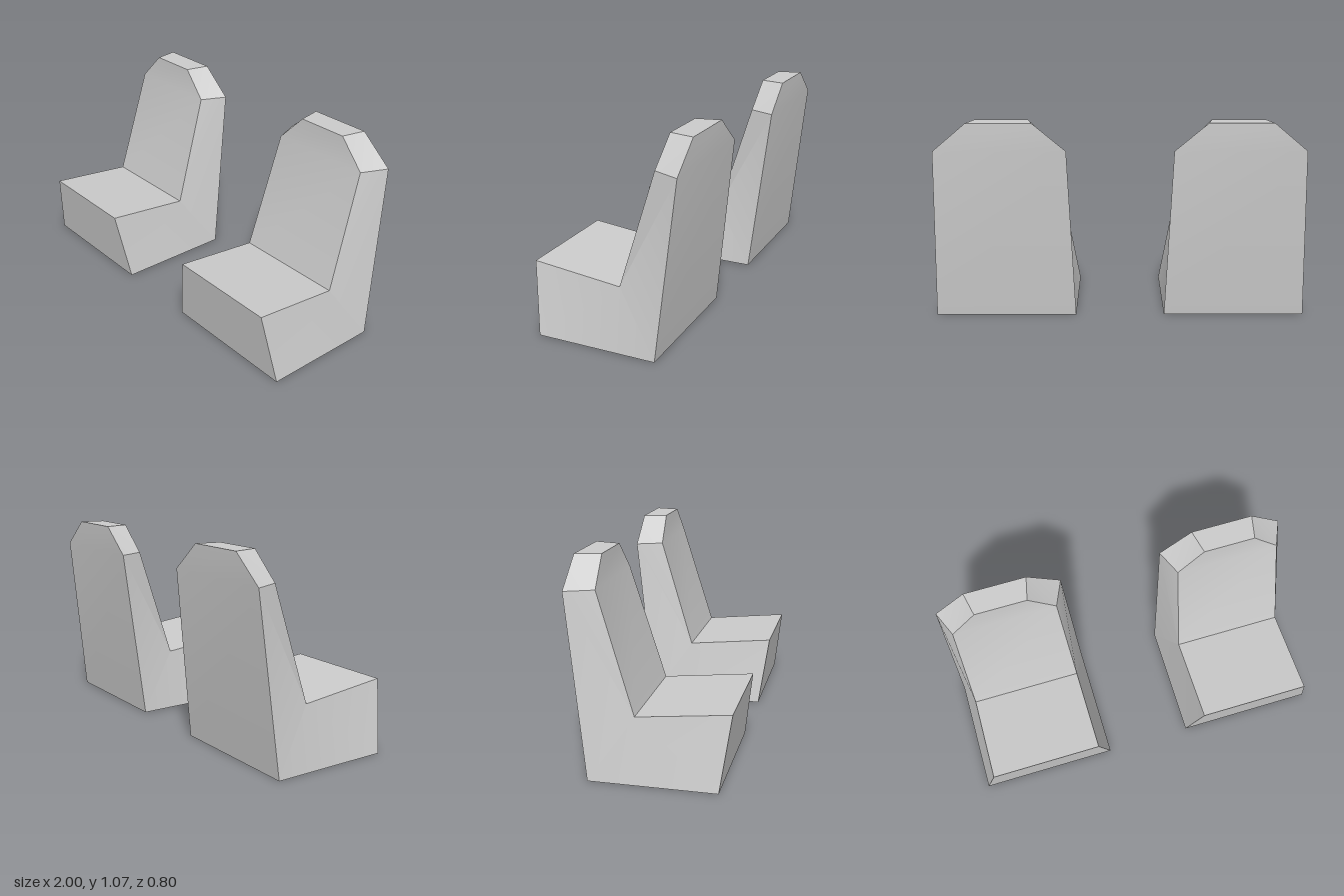
import * as THREE from 'three';
import { toCreasedNormals } from 'three/addons/utils/BufferGeometryUtils.js';

// Outline of the seat from the front base round to the back base: [y, z, half width]
const outline = [
  [0, 0.35, 0.38],        // 0 front base
  [0.37, 0.40, 0.305],    // 1 cushion front edge
  [0.32, -0.075, 0.305],  // 2 crease between cushion and backrest
  [0.925, -0.26, 0.282],  // 3 front shoulder
  [1.07, -0.27, 0.14],    // 4 top front edge
  [1.07, -0.40, 0.168],   // 5 top back edge
  [0.925, -0.40, 0.342],  // 6 back shoulder
  [0, -0.295, 0.38],      // 7 back base
];

// Triangles of one side panel, as outline indices
const sidePanel = [
  [0, 2, 1], [0, 7, 2], [2, 7, 6], [2, 6, 3], // flank
  [3, 6, 5], [3, 5, 4],                       // sloped shoulder
];

function seatGeometry() {
  const positions = [];
  const corner = (i, side) => {
    const [y, z, w] = outline[i];
    positions.push(side * w, y, z);
  };
  // Centre band running over the cushion, backrest and rear; the underside is open
  for (let i = 0; i < outline.length - 1; i++) {
    corner(i, -1); corner(i, 1); corner(i + 1, 1);
    corner(i, -1); corner(i + 1, 1); corner(i + 1, -1);
  }
  // Mirrored side panels
  for (const [a, b, c] of sidePanel) {
    corner(a, 1); corner(b, 1); corner(c, 1);
    corner(a, -1); corner(c, -1); corner(b, -1);
  }
  const geometry = new THREE.BufferGeometry();
  geometry.setAttribute('position', new THREE.Float32BufferAttribute(positions, 3));
  return toCreasedNormals(geometry, 0.35);
}

export function createModel() {
  const group = new THREE.Group();
  group.name = 'seatPair';
  const material = new THREE.MeshStandardMaterial({ color: 0xcccccc, side: THREE.DoubleSide });
  const geometry = seatGeometry();
  for (const side of [-1, 1]) {
    const seat = new THREE.Mesh(geometry, material);
    seat.name = side > 0 ? 'leftSeat' : 'rightSeat';
    seat.position.x = side * 0.62;
    group.add(seat);
  }
  return group;
}
